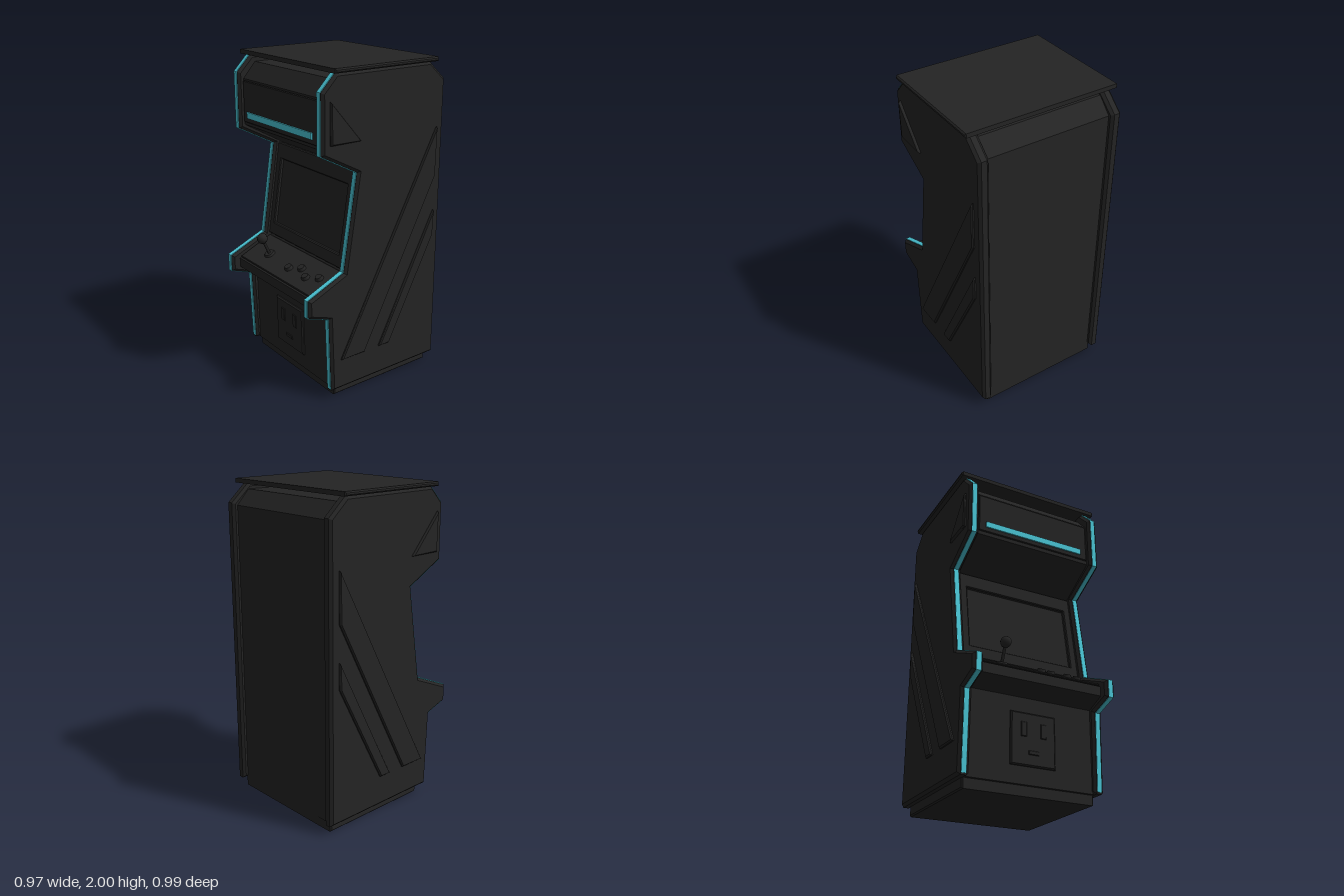
import * as THREE from 'three';

const black = new THREE.MeshStandardMaterial({ color: 0x242424 });
black.name = 'black cabinet';
const cyan = new THREE.MeshStandardMaterial({ color: 0x4ccbdc });
cyan.name = 'cyan trim';

const toShape = (pts) => new THREE.Shape(pts.map(([a, b]) => new THREE.Vector2(a, b)));

function add(parent, name, geometry, material, x = 0, y = 0, z = 0) {
  const mesh = new THREE.Mesh(geometry, material);
  mesh.name = name;
  mesh.position.set(x, y, z);
  parent.add(mesh);
  return mesh;
}

// Extrusion with chamfers that stay inside the outline
function extrude(shape, depth, bevel) {
  const geo = new THREE.ExtrudeGeometry(shape, {
    depth: depth - 2 * bevel, bevelEnabled: bevel > 0, bevelSegments: 1,
    bevelThickness: bevel, bevelSize: bevel, bevelOffset: -bevel,
  });
  return geo.translate(0, 0, bevel);
}

// A (z, y) outline extruded across x0..x1
function slab(pts, x0, x1, bevel = 0) {
  return extrude(toShape(pts), x1 - x0, bevel).rotateY(-Math.PI / 2).translate(x1, 0, 0);
}

const rect = (w, h, cy = 0) => [
  [-w / 2, cy - h / 2], [w / 2, cy - h / 2], [w / 2, cy + h / 2], [-w / 2, cy + h / 2],
];

// A chamfered plate facing +z, its back at z = 0
const plate = (w, h, d, bevel = 0.005) => extrude(toShape(rect(w, h)), d, bevel);

// Closed ribbon that follows a path at a small distance on both sides
function ribbon(path, half) {
  const side = (sign) => path.map((p, i) => {
    const prev = path[Math.max(i - 1, 0)], next = path[Math.min(i + 1, path.length - 1)];
    const normal = (a, b) => new THREE.Vector2(b[1] - a[1], a[0] - b[0]).normalize();
    const n1 = i > 0 ? normal(prev, p) : normal(p, next);
    const n2 = i < path.length - 1 ? normal(p, next) : n1;
    const m = n1.clone().add(n2).normalize();
    const k = sign * half / m.dot(n1);
    return [p[0] + m.x * k, p[1] + m.y * k];
  });
  return [...side(1), ...side(-1).reverse()];
}

export function createModel() {
  const model = new THREE.Group();
  model.name = 'arcadeCabinet';

  // Front edge of the side panels, from bottom to top, as (z, y)
  const frontEdge = [
    [0.33, 0.07], [0.348, 0.545], [0.495, 0.595], [0.495, 0.7], [0.24, 0.81],
    [0.15, 1.4], [0.4, 1.53], [0.4, 1.875], [0.305, 1.972],
  ];
  const sideOutline = [[0.33, 0.06], ...frontEdge.slice(1), [-0.375, 1.972], [-0.495, 1.865], [-0.495, 0.06]];

  // Raised shapes on the outer sides
  const reliefs = [
    ['triangleRelief', [[0.35, 1.585], [0.35, 1.825], [0.14, 1.585]]],
    ['wideStripeRelief', [[0.27, 0.26], [-0.435, 1.585], [-0.435, 1.285], [0.095, 0.26]]],
    ['narrowStripeRelief', [[-0.02, 0.26], [-0.435, 1.065], [-0.435, 0.905], [-0.1, 0.26]]],
  ];

  // Sides: built once per side with its own x range
  for (const s of [1, -1]) {
    const group = new THREE.Group();
    group.name = s > 0 ? 'leftSide' : 'rightSide';
    const across = (pts, a, b, bevel) => slab(pts, Math.min(s * a, s * b), Math.max(s * a, s * b), bevel);
    add(group, 'sidePanel', across(sideOutline, 0.394, 0.46, 0.016), black);
    add(group, 'edgeTrim', across(ribbon(frontEdge, 0.004), 0.412, 0.442, 0), cyan);
    for (const [name, pts] of reliefs) add(group, name, across(pts, 0.45, 0.476, 0.008), black);
    model.add(group);
  }

  // Inner body between the sides
  add(model, 'body', slab([
    [0.305, 0.06], [0.315, 0.565], [0.44, 0.615], [0.44, 0.675], [0.2, 0.782], [0.185, 0.8],
    [0.095, 1.4], [0.13, 1.42], [0.365, 1.55], [0.365, 1.835], [0.28, 1.93],
    [-0.38, 1.94], [-0.465, 1.85], [-0.465, 0.06],
  ], -0.4, 0.4), black);

  // Base and roof
  add(model, 'base', slab([[0.285, 0], [0.285, 0.07], [-0.46, 0.07], [-0.46, 0]], -0.415, 0.415, 0.008), black);
  add(model, 'roof', slab([[0.332, 1.974], [0.332, 2], [-0.413, 2], [-0.413, 1.974]], -0.486, 0.486, 0.008), black);

  // Marquee with its light bar
  add(model, 'marqueePanel', plate(0.77, 0.255, 0.012), black, 0, 1.698, 0.365);
  add(model, 'marqueeBar', new THREE.BoxGeometry(0.674, 0.038, 0.009), cyan, 0, 1.62, 0.381);

  // Screen surround, leaning back
  const screen = new THREE.Group();
  screen.name = 'screenUnit';
  screen.position.set(0, 1.1, 0.141);
  screen.rotation.x = -0.149;
  const surround = toShape(rect(0.79, 0.607));
  surround.holes.push(new THREE.Path(
    rect(0.69, 0.425, -0.01).reverse().map(([x, y]) => new THREE.Vector2(x, y))));
  add(screen, 'screenSurround', extrude(surround, 0.028, 0.006), black);
  add(screen, 'screen', plate(0.7, 0.435, 0.01, 0), black, 0, -0.01, -0.003);
  model.add(screen);

  // Control deck, sloping to the front
  const deck = new THREE.Group();
  deck.name = 'controlDeck';
  deck.position.set(0, 0.737, 0.322);
  deck.rotation.x = 0.42;
  add(deck, 'deckPlate', plate(0.775, 0.25, 0.014).rotateX(-Math.PI / 2), black, 0, -0.008, 0);
  for (const [x, z] of [[0.043, 0.03], [0.13, -0.01], [0.22, 0.03], [0.31, -0.01]]) {
    add(deck, 'button', new THREE.CylinderGeometry(0.022, 0.028, 0.022, 12), black, x, 0.015, z);
  }
  const joystick = new THREE.Group();
  joystick.name = 'joystick';
  joystick.position.set(-0.205, 0.004, 0.008);
  add(joystick, 'stickBase', new THREE.CylinderGeometry(0.03, 0.038, 0.014, 12), black, 0, 0.007, 0);
  add(joystick, 'stick', new THREE.CylinderGeometry(0.01, 0.01, 0.12, 8), black, 0, 0.06, 0);
  add(joystick, 'stickBall', new THREE.SphereGeometry(0.035, 8, 6), black, 0, 0.13, 0);
  deck.add(joystick);
  model.add(deck);

  // Coin door on the lower front
  const door = new THREE.Group();
  door.name = 'coinDoor';
  door.position.set(0, 0.317, 0.306);
  door.rotation.x = 0.02;
  add(door, 'doorPlate', plate(0.288, 0.31, 0.022, 0.008), black);
  for (const x of [-0.063, 0.063]) {
    add(door, 'coinSlot', plate(0.036, 0.085, 0.01, 0.003), black, x, 0.055, 0.018);
  }
  add(door, 'coinReturn', plate(0.066, 0.024, 0.01, 0.003), black, 0, -0.077, 0.018);
  model.add(door);

  return model;
}
